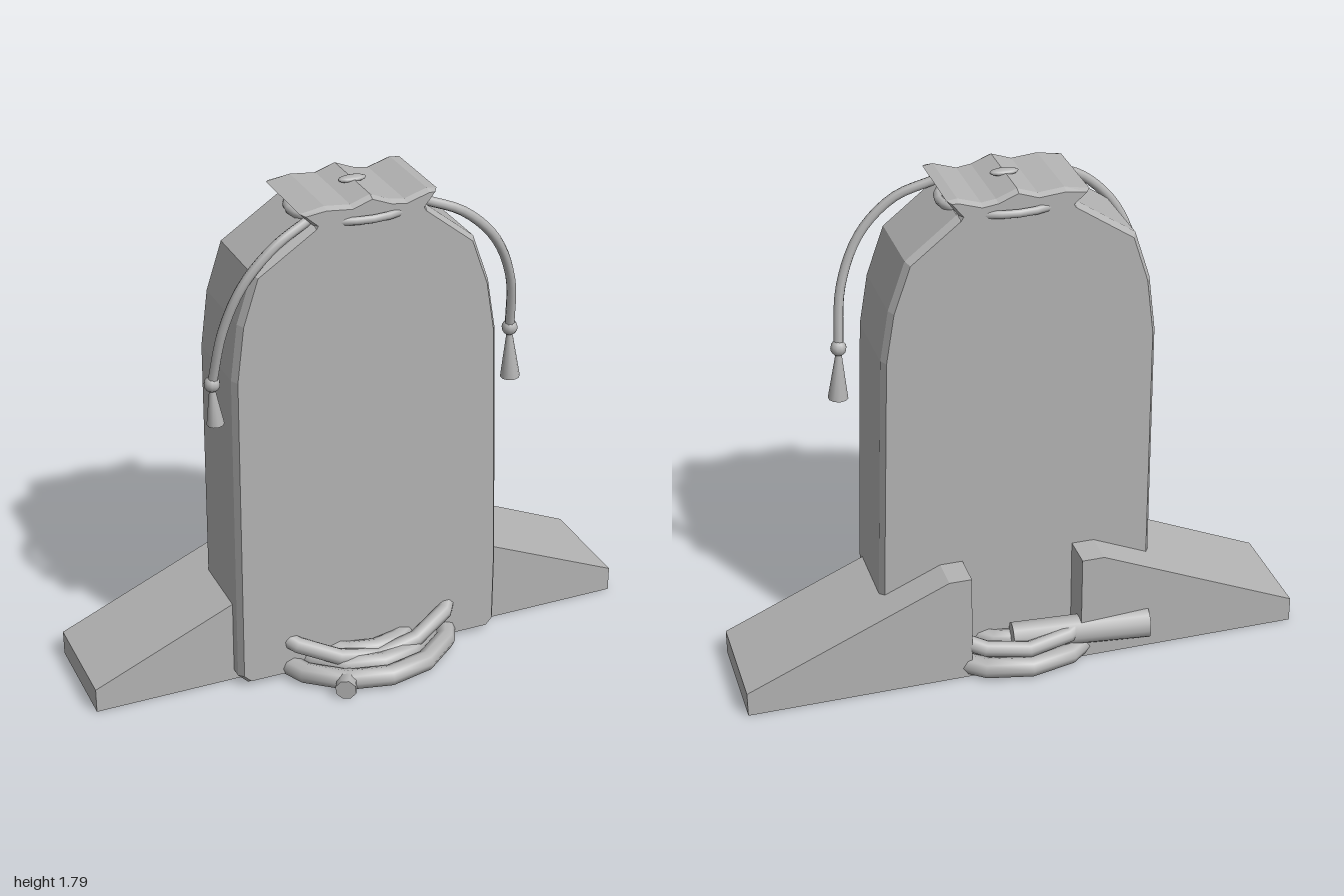
import * as THREE from 'three';

const gray = new THREE.MeshStandardMaterial({ color: 0xb4b4b4 });
gray.name = 'plain gray';

function add(parent, name, geometry, x = 0, y = 0, z = 0) {
  const mesh = new THREE.Mesh(geometry, gray);
  mesh.name = name;
  mesh.position.set(x, y, z);
  parent.add(mesh);
  return mesh;
}

// Front outline given depth from z0 to z1, with chamfered edges kept inside the outline
function slab(points, z0, z1, size = 0, thick = 0) {
  const shape = new THREE.Shape(points.map(([x, y]) => new THREE.Vector2(x, y)));
  const geometry = new THREE.ExtrudeGeometry(shape, {
    depth: z1 - z0 - 2 * thick, bevelEnabled: size > 0, bevelSize: size,
    bevelThickness: thick, bevelOffset: -size, bevelSegments: 1,
  });
  return geometry.translate(0, 0, z0 + thick);
}

function rope(points, segments, radius, closed = false) {
  const curve = new THREE.CatmullRomCurve3(points.map(p => new THREE.Vector3(...p)), closed);
  return new THREE.TubeGeometry(curve, segments, radius, 8, closed);
}

// Rod between two points with a radius at each end
function rod(parent, name, a, b, ra, rb, sides) {
  const from = new THREE.Vector3(...a), to = new THREE.Vector3(...b);
  const dir = to.clone().sub(from);
  const mesh = add(parent, name, new THREE.CylinderGeometry(rb, ra, dir.length(), sides));
  mesh.position.copy(from).add(to).multiplyScalar(0.5);
  mesh.quaternion.setFromUnitVectors(new THREE.Vector3(0, 1, 0), dir.normalize());
  return mesh;
}

// Closed loop of rope around the y axis; at(angle) gives [radius, height]
function coil(parent, name, at, radius) {
  const points = [];
  for (let i = 0; i < 14; i++) {
    const a = (i / 14) * Math.PI * 2;
    const [r, y] = at(a);
    points.push([Math.sin(a) * r, y, Math.cos(a) * r]);
  }
  add(parent, name, rope(points, 14, radius, true));
}

export function createModel() {
  const model = new THREE.Group();
  model.name = 'drawstringBag';

  // Sack body, slightly uneven from side to side
  add(model, 'bagBody', slab([
    [-0.46, 0.005], [0.465, 0.005], [0.495, 0.04], [0.495, 0.31], [0.485, 0.62], [0.465, 1.22],
    [0.435, 1.4], [0.375, 1.57], [0.2, 1.71], [-0.2, 1.71], [-0.41, 1.57],
    [-0.465, 1.4], [-0.49, 1.2], [-0.495, 0.04],
  ], -0.17, 0.165, 0.015, 0.025));

  // Gathered mouth with a wavy rim
  add(model, 'bagMouth', slab([
    [-0.21, 1.68], [0.21, 1.68], [0.195, 1.71], [0.235, 1.765], [0.2, 1.77], [0.12, 1.745],
    [0.07, 1.752], [0, 1.78], [-0.07, 1.756], [-0.16, 1.765], [-0.245, 1.75], [-0.2, 1.705],
  ], -0.17, 0.165, 0.01, 0.02));
  add(model, 'rimKnot', new THREE.SphereGeometry(1, 12, 8), 0, 1.778, -0.005).scale.set(0.05, 0.012, 0.022);

  // Cord round the neck
  const neck = new THREE.TorusGeometry(1, 0.07, 8, 24).rotateX(Math.PI / 2).scale(0.22, 0.21, 0.178);
  add(model, 'neckCord', neck, 0, 1.705, -0.003);

  // Hanging cords, each with a bead and a tassel
  const cords = [
    { side: 'right', s: -1, path: [[0.2, 1.72], [0.33, 1.655], [0.44, 1.54], [0.505, 1.38], [0.535, 1.17]], tip: 1.02, r: 0.03 },
    { side: 'left', s: 1, path: [[0.2, 1.72], [0.335, 1.665], [0.455, 1.55], [0.53, 1.38], [0.555, 1.17]], tip: 0.98, r: 0.035 },
  ];
  const depths = [0.125, 0.147, 0.145, 0.12, 0.08];
  for (const { side, s, path, tip, r } of cords) {
    const cord = new THREE.Group();
    cord.name = side + 'Cord';
    model.add(cord);
    add(cord, 'cord', rope(path.map(([x, y], i) => [s * x, y, depths[i]]), 20, 0.017));
    const x = s * path[4][0];
    add(cord, 'bead', new THREE.SphereGeometry(0.028, 10, 8), x, 1.17, 0.08);
    rod(cord, 'tassel', [x, 1.15, 0.08], [x + 0.008, tip, 0.08], 0.01, r, 10);
  }

  // Sloping stand with a notch at the back
  add(model, 'stand', slab([
    [-1, 0], [1, 0], [1, 0.09], [0.28, 0.405], [0.2, 0.405], [0.2, 0.05],
    [-0.2, 0.05], [-0.2, 0.405], [-0.28, 0.405], [-1, 0.09],
  ], -0.29, 0.1));

  // Coiled rope around the foot
  coil(model, 'outerCoil', () => [0.345, 0.038], 0.037);
  coil(model, 'middleCoil', () => [0.275, 0.05], 0.036);
  coil(model, 'innerCoil', () => [0.205, 0.066], 0.034);
  coil(model, 'raisedCoil', a => {
    const side = Math.sin(a) ** 2;
    return Math.cos(a) > 0 ? [0.235 + 0.14 * side, 0.05 + 0.12 * side] : [0.315 + 0.06 * side, 0.09 + 0.08 * side];
  }, 0.03);

  // Rope end at the front and flared handle at the back
  rod(model, 'ropeEnd', [-0.14, 0.036, 0.29], [-0.18, 0.036, 0.365], 0.036, 0.038, 8);
  rod(model, 'ropeHandle', [0.04, 0.1, -0.235], [-0.45, 0.1, -0.285], 0.05, 0.058, 12);

  return model;
}
